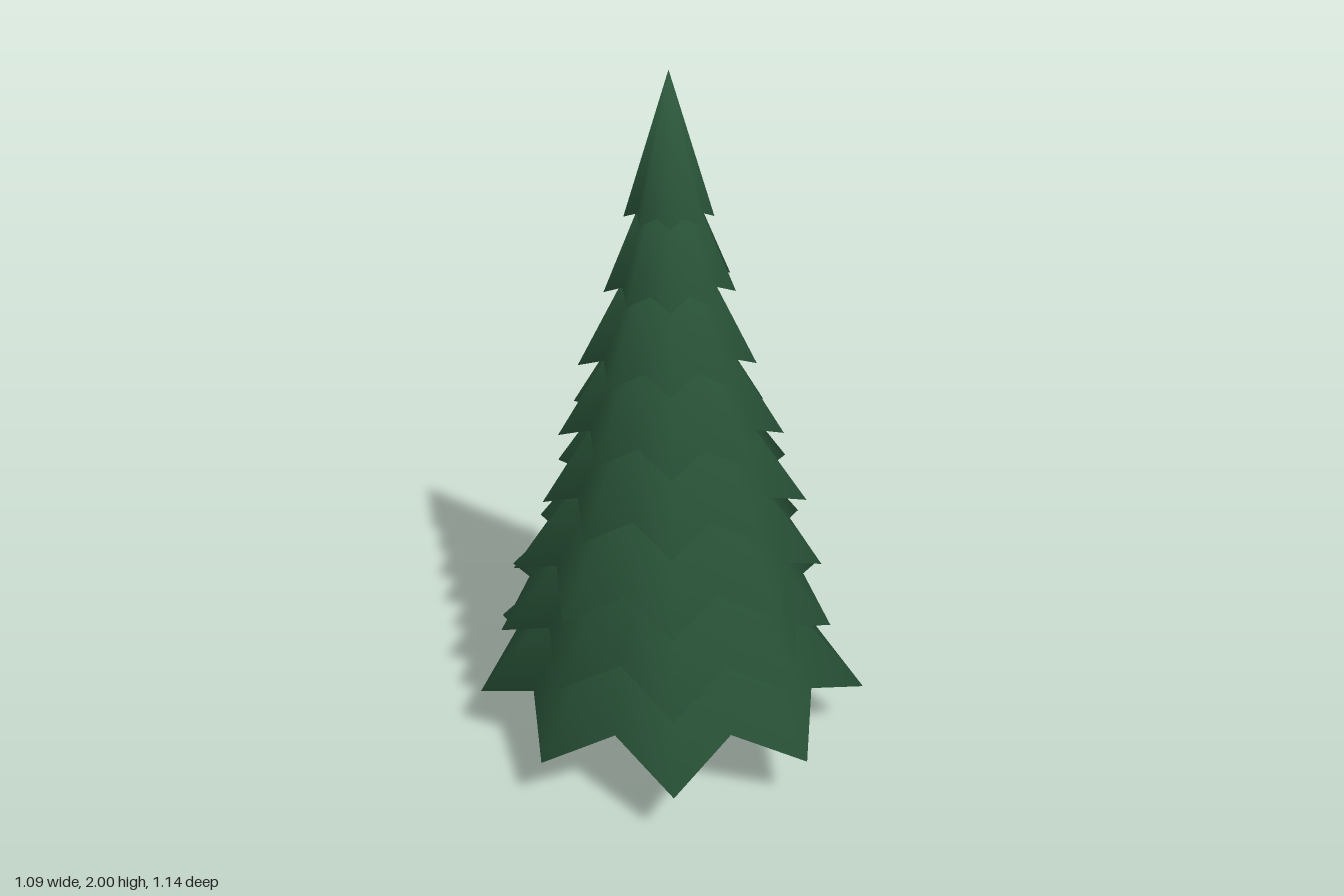
import * as THREE from 'three';

// Tip radii of each tier, lowest first, counted from +x towards +z in 40 degree steps
const TIERS = [
  [0.555, 0.58, 0.58, 0.59, 0.565, 0.565, 0.60, 0.58, 0.595],
  [0.54, 0.475, 0.54, 0.53, 0.49, 0.495, 0.55, 0.485, 0.48],
  [0.455, 0.44, 0.467, 0.45, 0.46, 0.45, 0.44, 0.425, 0.44],
  [0.40, 0.39, 0.382, 0.38, 0.367, 0.36, 0.37, 0.355, 0.38],
  [0.315, 0.32, 0.34, 0.32, 0.31, 0.31, 0.31, 0.305, 0.31],
  [0.24, 0.24, 0.242, 0.25, 0.254, 0.25, 0.24, 0.242, 0.24],
  [0.195, 0.18, 0.183, 0.18, 0.176, 0.176, 0.18, 0.178, 0.185],
  [0.118, 0.12, 0.13, 0.12, 0.12, 0.12, 0.11, 0.105, 0.11],
];
const AXIS_X = -0.015;

// Solid star-shaped cone: drooping tips, raised notches and a hollowed underside,
// with normals running smoothly round the rim
function starCone(tips, height) {
  const n = tips.length;
  const rim = n * 2;
  const mean = tips.reduce((a, b) => a + b, 0) / n;
  const positions = [0, height, 0];
  const index = [];
  for (let i = 0; i < rim; i++) {
    const notch = i % 2 === 1;
    const tip = tips[Math.floor(i / 2)];
    const next = tips[Math.ceil(i / 2) % n];
    const a = (i * Math.PI) / n;
    const r = notch ? (tip + next) * 0.4 : tip;
    positions.push(r * Math.cos(a), notch ? mean * 0.16 : 0, r * Math.sin(a));
    const here = 1 + i;
    const after = 1 + ((i + 1) % rim);
    index.push(0, after, here, rim + 1, here, after);
  }
  positions.push(0, mean * 0.4, 0);
  const geometry = new THREE.BufferGeometry();
  geometry.setAttribute('position', new THREE.Float32BufferAttribute(positions, 3));
  geometry.setIndex(index);
  geometry.computeVertexNormals();
  return geometry;
}

export function createModel() {
  const needles = new THREE.MeshStandardMaterial({ color: 0x2d5a3d });
  needles.name = 'needleGreen';
  const bark = new THREE.MeshStandardMaterial({ color: 0x4a3028 });
  bark.name = 'barkBrown';

  const tree = new THREE.Group();
  tree.name = 'firTree';

  // Trunk, running up into the lowest tier
  const trunk = new THREE.Mesh(new THREE.CylinderGeometry(0.045, 0.05, 0.5, 12), bark);
  trunk.name = 'trunk';
  trunk.position.set(AXIS_X + 0.003, 0.25, 0);
  tree.add(trunk);

  // Foliage tiers, shorter and steeper towards the top
  const last = TIERS.length - 1;
  TIERS.forEach((tips, i) => {
    const t = i / last;
    const height = THREE.MathUtils.lerp(0.68, 0.38, t);
    const tier = new THREE.Mesh(starCone(tips, height), needles);
    tier.name = `foliageTier${i + 1}`;
    tier.position.set(AXIS_X, THREE.MathUtils.lerp(0.175, 1.62, t), 0);
    tree.add(tier);
  });

  return tree;
}
